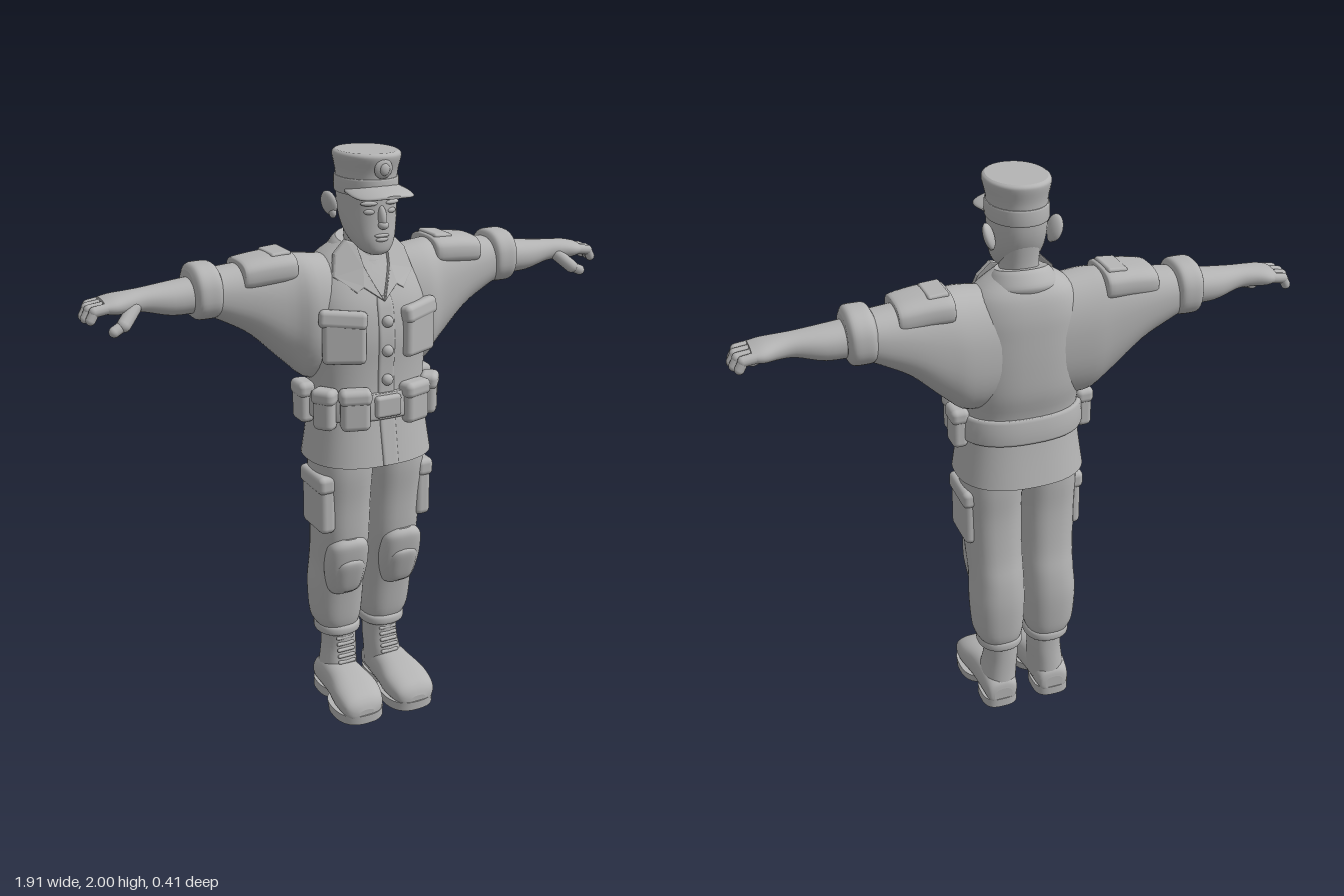
import * as THREE from 'three';
import { RoundedBoxGeometry } from 'three/addons/geometries/RoundedBoxGeometry.js';

const cloth = new THREE.MeshStandardMaterial({ color: 0xb4b4b4 });
cloth.name = 'plainGrey';

const catmull = (a, b, c, d, t) =>
  0.5 * (2 * b + (c - a) * t + (2 * a - 5 * b + 4 * c - d) * t * t + (3 * b - a - 3 * c + d) * t * t * t);

// Skin over rounded cross-sections. Each row: [position on axis, u0, u1, v0, v1].
// Axis y uses u = x, v = z; axis x uses u = z, v = y; axis z uses u = y, v = x.
function loft(axis, rows, n = 2.2, sides = 36, steps = 4) {
  const slots = { y: [1, 0, 2], x: [0, 2, 1], z: [2, 1, 0] }[axis];
  const at = (i) => rows[Math.min(Math.max(i, 0), rows.length - 1)];
  const pos = [], index = [], rings = [];
  const put = (p, u, v) => {
    const q = [0, 0, 0];
    [p, u, v].forEach((value, k) => { q[slots[k]] = value; });
    pos.push(...q);
  };
  for (let i = 0; i < rows.length - 1; i++) {
    for (let s = 0; s < steps; s++) {
      rings.push(at(i).map((_, k) => catmull(at(i - 1)[k], at(i)[k], at(i + 1)[k], at(i + 2)[k], s / steps)));
    }
  }
  rings.push(rows[rows.length - 1]);
  const ring = ([p, u0, u1, v0, v1]) => {
    for (let j = 0; j < sides; j++) {
      const a = (j / sides) * Math.PI * 2, c = Math.cos(a), s = Math.sin(a);
      put(p, (u0 + u1) / 2 + (u1 - u0) / 2 * Math.sign(c) * Math.abs(c) ** (2 / n),
        (v0 + v1) / 2 + (v1 - v0) / 2 * Math.sign(s) * Math.abs(s) ** (2 / n));
    }
  };
  rings.forEach(ring);
  for (let i = 0; i < rings.length - 1; i++) {
    for (let j = 0; j < sides; j++) {
      const k = (j + 1) % sides, a = i * sides, b = a + sides;
      index.push(a + j, b + j, a + k, a + k, b + j, b + k);
    }
  }
  [rings[0], rings[rings.length - 1]].forEach((r, end) => {
    const start = pos.length / 3;
    ring(r);
    put(r[0], (r[1] + r[2]) / 2, (r[3] + r[4]) / 2);
    for (let j = 0; j < sides; j++) {
      const k = (j + 1) % sides;
      index.push(start + sides, start + (end ? k : j), start + (end ? j : k));
    }
  });
  const g = new THREE.BufferGeometry();
  g.setAttribute('position', new THREE.Float32BufferAttribute(pos, 3));
  g.setIndex(index);
  g.computeVertexNormals();
  return g;
}

// Move every vertex by a rule
function bend(g, rule) {
  const p = g.attributes.position, v = new THREE.Vector3();
  for (let i = 0; i < p.count; i++) {
    rule(v.fromBufferAttribute(p, i));
    p.setXYZ(i, v.x, v.y, v.z);
  }
  g.computeVertexNormals();
  return g;
}

const box = (w, h, d, r = 0.015) => new RoundedBoxGeometry(w, h, d, 3, r);
const ball = (x, y, z) => new THREE.SphereGeometry(1, 20, 14).scale(x, y, z);

export function createModel() {
  const model = new THREE.Group();
  model.name = 'uniformedFigure';

  const add = (name, geometry, at = [0, 0, 0], turn = [0, 0, 0]) => {
    const mesh = new THREE.Mesh(geometry, cloth);
    mesh.name = name;
    mesh.position.set(...at);
    mesh.rotation.set(...turn);
    model.add(mesh);
    return mesh;
  };
  // Add a left part and its baked mirror image
  const pair = (name, geometry, at, turn) => {
    const left = add(name + 'Left', geometry, at, turn);
    left.updateMatrix();
    const g = geometry.clone().applyMatrix4(left.matrix).scale(-1, 1, 1);
    const order = g.index ? Array.from(g.index.array) : Array.from({ length: g.attributes.position.count }, (_, i) => i);
    for (let i = 0; i < order.length; i += 3) [order[i], order[i + 1]] = [order[i + 1], order[i]];
    g.setIndex(order);
    add(name + 'Right', g);
  };
  const rod = (name, a, b, r) => {
    const from = new THREE.Vector3(...a), way = new THREE.Vector3(...b).sub(from);
    const g = new THREE.CapsuleGeometry(r, way.length(), 6, 12);
    g.applyQuaternion(new THREE.Quaternion().setFromUnitVectors(new THREE.Vector3(0, 1, 0), way.clone().normalize()));
    pair(name, g, from.addScaledVector(way, 0.5).toArray());
  };

  // Jacket body, placket, buttons and belt
  add('jacket', loft('y', [[0.965, -0.225, 0.225, -0.2, 0.165], [1.1, -0.207, 0.207, -0.175, 0.14],
    [1.2, -0.2, 0.2, -0.165, 0.125], [1.3, -0.21, 0.21, -0.185, 0.125], [1.4, -0.22, 0.22, -0.19, 0.13],
    [1.5, -0.215, 0.215, -0.19, 0.118], [1.58, -0.2, 0.2, -0.187, 0.085], [1.65, -0.16, 0.16, -0.17, 0.045],
    [1.7, -0.085, 0.085, -0.13, 0.02]], 2.4, 48));
  add('placket', loft('y', [[0.968, -0.025, 0.035, 0.1, 0.171], [1.1, -0.025, 0.035, 0.1, 0.146],
    [1.2, -0.025, 0.035, 0.09, 0.131], [1.3, -0.025, 0.035, 0.09, 0.131], [1.4, -0.025, 0.035, 0.09, 0.136],
    [1.5, -0.025, 0.035, 0.08, 0.123], [1.54, -0.02, 0.03, 0.07, 0.108]], 6));
  for (const y of [1.26, 1.36, 1.46]) add('button', ball(0.02, 0.02, 0.016), [0.004, y, 0.137]);
  add('belt', loft('y', [[1.125, -0.213, 0.213, -0.178, 0.143], [1.135, -0.22, 0.22, -0.186, 0.15],
    [1.205, -0.217, 0.217, -0.18, 0.144], [1.215, -0.21, 0.21, -0.172, 0.138]], 2.4, 48, 2));
  add('buckle', box(0.095, 0.075, 0.03, 0.012), [0, 1.172, 0.147]);
  for (const [x, z, angle, w] of [[0.112, 0.128, 0.3, 0.1], [0.198, 0.075, 0.95, 0.075], [0.222, -0.045, 1.57, 0.085]]) {
    pair('beltPouch', box(w, 0.135, 0.055, 0.02), [x, 1.165, z], [0, angle, 0]);
    pair('beltPouchFlap', box(w + 0.01, 0.055, 0.064, 0.02), [x, 1.214, z], [0, angle, 0]);
  }

  // Chest pockets
  pair('chestPocket', box(0.145, 0.15, 0.045, 0.018), [0.137, 1.4, 0.1], [0, 0.42, 0]);
  pair('chestPocketFlap', box(0.16, 0.06, 0.05, 0.018), [0.14, 1.475, 0.098], [-0.15, 0.42, 0.13]);

  // Collar: folded ring round the neck and two lapels
  const collar = loft('y', [[1.625, -0.128, 0.128, -0.165, 0.065], [1.645, -0.125, 0.125, -0.168, 0.06],
    [1.685, -0.1, 0.1, -0.145, 0.035], [1.7, -0.085, 0.085, -0.13, 0.02]], 2, 40);
  add('collar', bend(collar, (v) => { v.y -= (v.z + 0.03) * 0.25; }));
  const lapel = new THREE.Shape([[0.004, 1.53], [0.06, 1.575], [0.085, 1.56], [0.142, 1.605], [0.125, 1.67],
    [0.085, 1.71], [0.06, 1.7], [0.05, 1.63]].map(([x, y]) => new THREE.Vector2(x, y)));
  const lapelBody = new THREE.ExtrudeGeometry(lapel, { depth: 0.012, bevelSize: 0.005, bevelThickness: 0.005, bevelSegments: 2 });
  pair('lapel', bend(lapelBody, (v) => { v.z += 0.105 - (v.y - 1.53) * 0.5 - v.x * v.x * 2; }));

  // Sleeves, shoulder pockets, cuffs and forearms
  pair('sleeve', loft('x', [[0.05, -0.17, 0.05, 1.25, 1.65], [0.2, -0.188, 0.068, 1.245, 1.67],
    [0.28, -0.188, 0.035, 1.305, 1.672], [0.39, -0.185, 0.01, 1.41, 1.658], [0.48, -0.18, -0.005, 1.465, 1.65],
    [0.53, -0.175, -0.01, 1.49, 1.645]], 2.3, 40));
  pair('sleevePocket', loft('x', [[0.255, -0.165, 0.0, 1.6, 1.675], [0.265, -0.178, 0.02, 1.585, 1.685],
    [0.34, -0.175, 0.02, 1.58, 1.683], [0.425, -0.172, 0.01, 1.575, 1.672], [0.435, -0.16, 0.0, 1.59, 1.66]], 2.8));
  pair('sleevePocketFlap', box(0.07, 0.02, 0.12, 0.009), [0.3, 1.68, -0.08], [0, 0, -0.08]);
  pair('sleeveCuff', loft('x', [[0.505, -0.172, -0.015, 1.505, 1.65], [0.518, -0.19, 0.002, 1.49, 1.668],
    [0.55, -0.193, 0.004, 1.487, 1.671], [0.583, -0.19, 0.002, 1.49, 1.668], [0.598, -0.168, -0.02, 1.512, 1.648]], 2.4));
  pair('forearm', loft('x', [[0.56, -0.16, -0.02, 1.512, 1.63], [0.66, -0.155, -0.025, 1.512, 1.62],
    [0.75, -0.135, -0.037, 1.535, 1.612], [0.8, -0.138, -0.032, 1.538, 1.608], [0.85, -0.154, -0.022, 1.54, 1.602],
    [0.885, -0.15, -0.026, 1.548, 1.594]]));

  // Fingers and thumb
  [[0, -0.135], [0.012, -0.105], [0.014, -0.073], [0.006, -0.042]].forEach(([reach, z]) => {
    rod('fingerBase', [0.865, 1.572, z], [0.912 + reach, 1.565, z], 0.0175);
    rod('fingerTip', [0.912 + reach, 1.565, z], [0.926 + reach, 1.54, z], 0.016);
  });
  rod('thumbBase', [0.79, 1.56, -0.05], [0.835, 1.518, -0.02], 0.023);
  rod('thumbTip', [0.835, 1.518, -0.02], [0.868, 1.502, -0.014], 0.018);

  // Neck and head
  add('neck', loft('y', [[1.6, -0.085, 0.085, -0.13, 0.05], [1.66, -0.07, 0.07, -0.11, 0.04],
    [1.72, -0.062, 0.062, -0.103, 0.035], [1.8, -0.068, 0.068, -0.11, 0.03]]));
  add('undershirtNeck', new THREE.TorusGeometry(0.068, 0.013, 10, 32), [0, 1.655, -0.03], [Math.PI / 2 + 0.2, 0, 0]);
  add('head', loft('y', [[1.672, -0.025, 0.025, 0.035, 0.085], [1.685, -0.048, 0.048, 0.0, 0.1],
    [1.72, -0.073, 0.073, -0.06, 0.104], [1.77, -0.087, 0.087, -0.1, 0.1], [1.83, -0.093, 0.093, -0.12, 0.098],
    [1.9, -0.095, 0.095, -0.125, 0.1]], 2.2, 40));
  add('nose', ball(0.014, 0.038, 0.018), [0, 1.798, 0.103], [-0.25, 0, 0]);
  add('noseTip', ball(0.018, 0.014, 0.017), [0, 1.773, 0.111]);
  add('upperLip', ball(0.027, 0.007, 0.01), [0, 1.738, 0.098]);
  add('lowerLip', ball(0.023, 0.008, 0.01), [0, 1.725, 0.099]);
  pair('brow', ball(0.028, 0.008, 0.01), [0.042, 1.842, 0.09], [0, 0.3, 0]);
  pair('eye', ball(0.018, 0.009, 0.008), [0.04, 1.815, 0.088], [0, 0.3, 0]);
  pair('ear', ball(0.016, 0.044, 0.03), [0.11, 1.825, -0.062], [0, -0.55, -0.3]);
  pair('earLobe', ball(0.012, 0.018, 0.015), [0.1, 1.793, -0.055]);

  // Cap with band, visor and plain badge
  add('cap', loft('y', [[1.87, -0.094, 0.094, -0.13, 0.103], [1.93, -0.096, 0.096, -0.128, 0.103],
    [1.978, -0.106, 0.106, -0.136, 0.116], [1.993, -0.105, 0.105, -0.135, 0.115], [2.0, -0.096, 0.096, -0.126, 0.106]], 2.1, 44));
  add('capBand', loft('y', [[1.866, -0.097, 0.097, -0.132, 0.105], [1.872, -0.1, 0.1, -0.135, 0.108],
    [1.912, -0.1, 0.1, -0.134, 0.108], [1.918, -0.097, 0.097, -0.13, 0.104]], 2.1, 44, 2));
  const visor = loft('z', [[0.03, 1.89, 1.906, -0.1, 0.1], [0.09, 1.885, 1.901, -0.104, 0.104],
    [0.14, 1.877, 1.892, -0.094, 0.094], [0.168, 1.871, 1.885, -0.066, 0.066], [0.182, 1.869, 1.879, -0.025, 0.025]], 3);
  add('visor', bend(visor, (v) => { v.y -= v.x * v.x * 2; }));
  add('capBadge', ball(0.032, 0.032, 0.012), [0, 1.952, 0.109], [0.15, 0, 0]);
  add('capBadgeCentre', ball(0.017, 0.02, 0.01), [0, 1.952, 0.118]);

  // Trousers with cargo pockets, knee pads and gathered cuffs
  pair('trouserLeg', loft('y', [[0.285, 0.018, 0.165, -0.152, 0.0], [0.33, 0.006, 0.187, -0.162, 0.012],
    [0.45, 0.0, 0.195, -0.17, 0.03], [0.55, 0.0, 0.19, -0.163, 0.05], [0.65, -0.001, 0.194, -0.145, 0.075],
    [0.8, -0.003, 0.2, -0.135, 0.086], [0.92, -0.008, 0.205, -0.14, 0.1], [1.02, -0.015, 0.2, -0.14, 0.1]], 2.4));
  pair('trouserCuff', loft('y', [[0.255, 0.018, 0.16, -0.148, 0.0], [0.263, 0.008, 0.172, -0.158, 0.01],
    [0.285, 0.008, 0.172, -0.158, 0.01], [0.297, 0.018, 0.165, -0.15, 0.0]]));
  pair('cargoPocket', box(0.06, 0.2, 0.165, 0.022), [0.186, 0.805, -0.008]);
  pair('cargoPocketFlap', box(0.064, 0.065, 0.178, 0.02), [0.19, 0.888, -0.008]);
  pair('kneePad', loft('y', [[0.447, 0.07, 0.14, 0.0, 0.035], [0.465, 0.045, 0.165, -0.02, 0.055],
    [0.55, 0.028, 0.182, -0.02, 0.083], [0.63, 0.03, 0.18, 0.0, 0.098], [0.66, 0.045, 0.165, 0.01, 0.097],
    [0.675, 0.07, 0.14, 0.02, 0.085]], 2.6));
  pair('kneePlate', loft('y', [[0.457, 0.08, 0.13, 0.01, 0.05], [0.475, 0.056, 0.154, 0.0, 0.068],
    [0.55, 0.045, 0.165, 0.0, 0.093], [0.585, 0.055, 0.155, 0.01, 0.1], [0.597, 0.075, 0.135, 0.02, 0.093]], 2.6));

  // Boots: shaft, foot, split sole and laces
  pair('bootShaft', loft('y', [[0.06, 0.03, 0.165, -0.15, 0.03], [0.13, 0.028, 0.155, -0.145, 0.015],
    [0.2, 0.024, 0.146, -0.143, -0.003], [0.28, 0.024, 0.148, -0.143, -0.003]]));
  pair('bootFoot', loft('z', [[-0.152, 0.02, 0.08, 0.065, 0.135], [-0.138, 0.012, 0.115, 0.043, 0.158],
    [-0.06, 0.012, 0.145, 0.032, 0.168], [0.02, 0.012, 0.142, 0.024, 0.175], [0.1, 0.012, 0.127, 0.013, 0.188],
    [0.165, 0.012, 0.103, 0.025, 0.183], [0.19, 0.012, 0.08, 0.045, 0.165], [0.2, 0.02, 0.055, 0.075, 0.135]], 2.5));
  pair('bootHeel', loft('y', [[0, 0.035, 0.168, -0.155, -0.005], [0.035, 0.035, 0.168, -0.155, -0.005]], 3, 36, 1));
  pair('bootSole', loft('y', [[0, 0.012, 0.192, 0.0, 0.203], [0.034, 0.01, 0.194, -0.01, 0.205]], 2.5, 36, 1));
  for (let i = 0; i < 5; i++) {
    rod('lace', [0.06, 0.148 + i * 0.023, 0.006 - i * 0.004], [0.116, 0.148 + i * 0.023, 0.006 - i * 0.004], 0.007);
  }

  return model;
}
